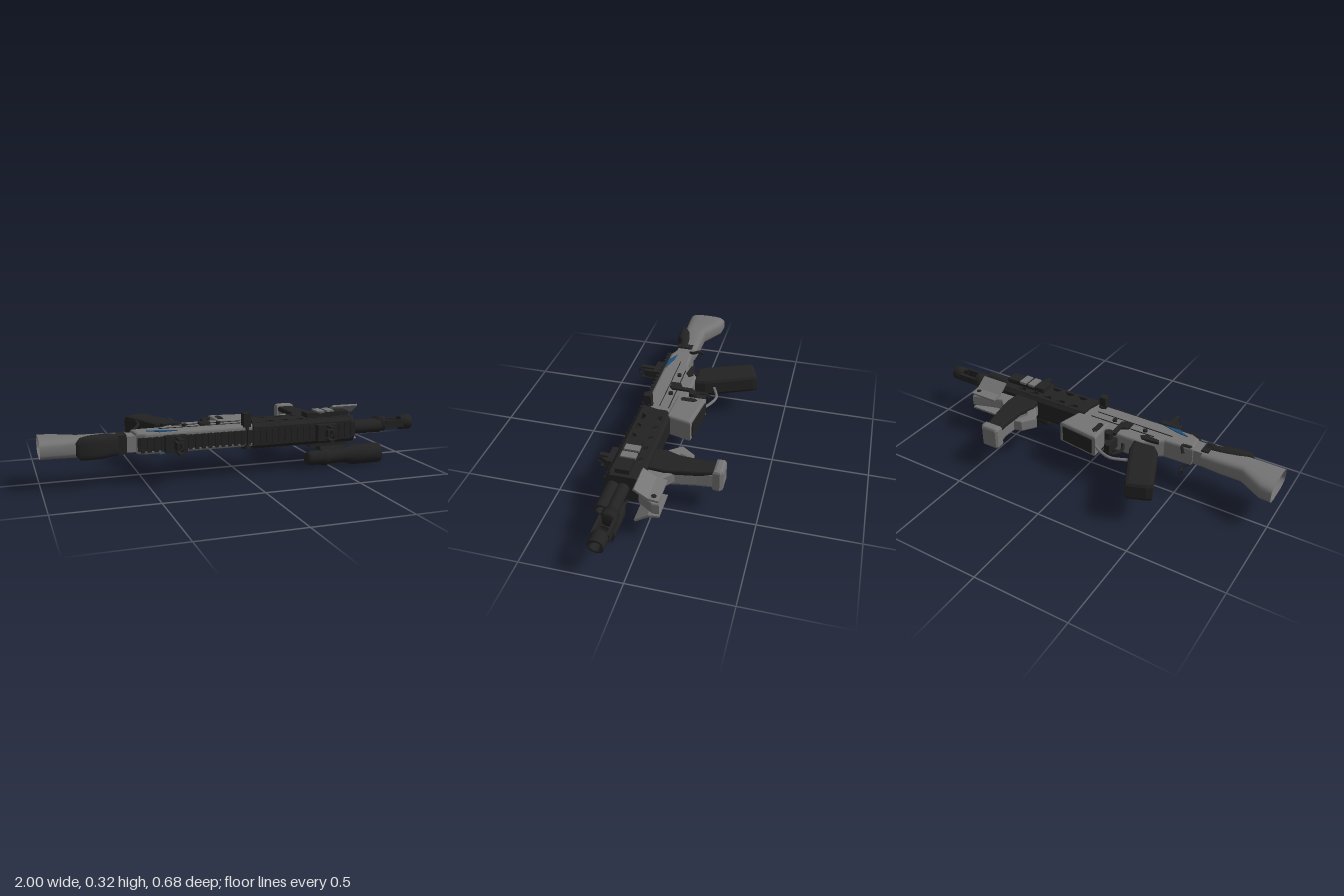
import * as THREE from 'three';

// The rifle lies on its side: muzzle to +x, sights to +z, grips to -z.
const black = new THREE.MeshStandardMaterial({ color: 0x222222, side: THREE.DoubleSide });
black.name = 'black';
const grey = new THREE.MeshStandardMaterial({ color: 0x747474, side: THREE.DoubleSide });
grey.name = 'grey';
const blue = new THREE.MeshStandardMaterial({ color: 0x1f4e79 });
blue.name = 'blue';
const CY = 0.202, BORE = 0.115;

export function createModel() {
  const root = new THREE.Group();
  root.name = 'rifle';
  const add = (name, geo, mat) => {
    const m = new THREE.Mesh(geo, mat);
    m.name = name;
    root.add(m);
    return m;
  };
  const box = (name, mat, x0, x1, y0, y1, z0, z1) => {
    const m = add(name, new THREE.BoxGeometry(x1 - x0, y1 - y0, z1 - z0), mat);
    m.position.set((x0 + x1) / 2, (y0 + y1) / 2, (z0 + z1) / 2);
    return m;
  };
  // Side outline given as [x, z], extruded between two heights
  const plate = (name, mat, pts, y0, y1, bevel = 0, holes = []) => {
    const flat = p => p.map(([x, z]) => new THREE.Vector2(x, -z));
    const s = new THREE.Shape(flat(pts));
    holes.forEach(h => s.holes.push(new THREE.Path(flat(h))));
    const g = new THREE.ExtrudeGeometry(s, {
      depth: y1 - y0 - 2 * bevel, bevelEnabled: bevel > 0, bevelThickness: bevel,
      bevelSize: bevel, bevelOffset: -bevel, bevelSegments: 2 });
    g.rotateX(-Math.PI / 2).translate(0, y0 + bevel, 0);
    return add(name, g, mat);
  };
  // Cross-section given as [z, y], extruded along the barrel
  const prism = (name, mat, pts, x0, x1) => {
    const s = new THREE.Shape(pts.map(([z, y]) => new THREE.Vector2(-z, y)));
    const g = new THREE.ExtrudeGeometry(s, { depth: x1 - x0, bevelEnabled: false });
    return add(name, g.rotateY(Math.PI / 2).translate(x0, 0, 0), mat);
  };
  // Turned part along x from a profile of [radius, x]
  const turned = (name, mat, pts, y, z, n = 24) => {
    const g = new THREE.LatheGeometry(pts.map(([r, x]) => new THREE.Vector2(r, x)), n);
    return add(name, g.toNonIndexed().rotateZ(-Math.PI / 2).translate(0, y, z), mat);
  };
  // Rounded tube through sections of [x, zMin, zMax, halfWidth]
  const loft = (name, mat, secs, n = 28) => {
    const pos = [], idx = [];
    const pw = v => Math.sign(v) * Math.abs(v) ** 0.6;
    secs.forEach(([x, a, b, w], i) => {
      for (let j = 0; j < n; j++) {
        const t = j / n * Math.PI * 2;
        pos.push(x, CY + w * pw(Math.cos(t)), (a + b) / 2 + (b - a) / 2 * pw(Math.sin(t)));
        if (i) {
          const p = (i - 1) * n + j, q = (i - 1) * n + (j + 1) % n;
          idx.push(p, p + n, q, q, p + n, q + n);
        }
      }
    });
    const g = new THREE.BufferGeometry();
    g.setAttribute('position', new THREE.Float32BufferAttribute(pos, 3));
    g.setIndex(idx);
    g.computeVertexNormals();
    return add(name, g, mat);
  };
  const tube = (name, mat, pts, r) => add(name, new THREE.TubeGeometry(
    new THREE.CatmullRomCurve3(pts.map(p => new THREE.Vector3(...p))), 20, r, 8), mat);

  // Stock, open at the rear
  loft('stock', grey, [[-1, -0.03, 0.187, 0.05], [-0.94, -0.025, 0.187, 0.05], [-0.82, 0.053, 0.18, 0.05],
    [-0.7, 0.055, 0.16, 0.048], [-0.6, 0.06, 0.15, 0.042]]);
  loft('cheekRest', black, [[-0.835, 0.18, 0.19, 0.03], [-0.815, 0.165, 0.203, 0.054], [-0.77, 0.135, 0.203, 0.058],
    [-0.71, 0.118, 0.2, 0.058], [-0.67, 0.115, 0.175, 0.056], [-0.6, 0.112, 0.165, 0.05], [-0.6, 0.137, 0.138, 0.001]]);
  box('stockCollar', black, -0.63, -0.59, 0.155, 0.25, 0.085, 0.17);
  box('stockNeck', grey, -0.6, -0.54, 0.162, 0.242, 0.075, 0.165);

  // Receiver and magazine well
  plate('receiver', grey, [[-0.555, 0.065], [-0.4, 0.06], [-0.3, -0.015], [-0.1, -0.015], [0.1, 0.03],
    [0.09, 0.185], [-0.5, 0.185], [-0.545, 0.165]], 0.148, 0.256, 0.012);
  plate('magazineWell', grey, [[-0.095, -0.115], [0.135, -0.085], [0.1, 0.05], [-0.09, 0.04]], 0.14, 0.264, 0.012);
  plate('magazineOpening', black, [[-0.075, -0.119], [0.115, -0.093], [0.112, -0.085], [-0.075, -0.109]], 0.16, 0.244);
  for (const [y0, y1] of [[0.138, 0.142], [0.262, 0.266]])
    plate('wellSlot', black, [[-0.075, -0.06], [-0.06, -0.075], [-0.045, -0.06], [-0.045, 0.005], [-0.06, 0.015], [-0.075, 0.005]], y0, y1);
  for (const [y0, y1] of [[0.144, 0.149], [0.255, 0.26]]) {
    plate('blueStripe', blue, [[-0.49, 0.145], [-0.44, 0.148], [-0.34, 0.175], [-0.43, 0.18], [-0.45, 0.165]], y0, y1);
    box('panelSeam', black, -0.42, 0.02, y0 + 0.001, y1 - 0.001, 0.106, 0.109);
    box('upperSeam', black, -0.34, 0.03, y0 + 0.001, y1 - 0.001, 0.055, 0.059);
    plate('selector', black, [[-0.39, 0.015], [-0.3, 0.005], [-0.28, 0.025], [-0.31, 0.045], [-0.38, 0.035]], y0 - 0.004, y1 + 0.004);
    plate('boltCatch', black, [[-0.2, 0.1], [-0.2, 0.05], [-0.165, 0.03], [-0.165, -0.03], [-0.14, -0.03],
      [-0.14, 0.08], [-0.16, 0.1]], y0 - 0.006, y1 + 0.006);
  }
  for (const [x, z, r] of [[-0.13, -0.035, 0.022], [0.02, 0.165, 0.022], [-0.28, 0.078, 0.012], [-0.1, 0.08, 0.012]]) {
    const pin = add('pin', new THREE.CylinderGeometry(r, r, 0.13, 14), black);
    pin.position.set(x, CY, z);
  }
  box('sideKnob', black, 0, 0.038, 0.25, 0.32, 0.15, 0.19);
  // Charging handle, with a hook on each side
  for (const s of [1, -1])
    tube('chargingHook', black, [[-0.54, CY + s * 0.05, 0.08], [-0.51, CY + s * 0.07, 0.05],
      [-0.515, CY + s * 0.08, 0.02], [-0.53, CY + s * 0.06, 0]], 0.008);

  // Rear grip, trigger and guard
  plate('rearGrip', black, [[-0.515, -0.285], [-0.49, -0.305], [-0.395, -0.34], [-0.38, -0.32], [-0.27, -0.07],
    [-0.26, -0.01], [-0.38, 0], [-0.41, -0.03]], 0.15, 0.255, 0.02);
  tube('triggerGuard', grey, [[-0.305, CY, -0.11], [-0.25, CY, -0.135], [-0.2, CY, -0.148], [-0.13, CY, -0.125], [-0.09, CY, -0.1]], 0.008);
  tube('trigger', black, [[-0.2, CY, -0.01], [-0.22, CY, -0.05], [-0.22, CY, -0.08], [-0.2, CY, -0.11]], 0.009);
  plate('magazineCatch', black, [[-0.17, -0.1], [-0.14, -0.1], [-0.1, 0], [-0.17, 0]], 0.175, 0.23);

  // Handguard: pierced sides, chamfered spine and floor, closed ends
  const slots = [];
  for (let i = 0; i < 5; i++) {
    const x = 0.12 + i * 0.085;
    slots.push([[x, 0.062], [x + 0.06, 0.062], [x + 0.035, 0.085], [x + 0.015, 0.085]]);
    slots.push([[x + 0.015, 0.146], [x + 0.035, 0.146], [x + 0.06, 0.17], [x, 0.17]]);
  }
  for (const y of [0.134, 0.256])
    plate('handguardSide', black, [[0.05, 0.185], [0.085, 0.045], [0.6, 0.045], [0.6, 0.185]], y, y + 0.014, 0, slots);
  prism('handguardSpine', black, [[0.183, 0.134], [0.183, 0.27], [0.205, 0.25], [0.205, 0.155]], 0.05, 0.6);
  prism('handguardFloor', black, [[0.047, 0.134], [0.047, 0.27], [0.03, 0.25], [0.03, 0.155]], 0.085, 0.6);
  const oct = [[0.205, 0.165], [0.18, 0.134], [0.055, 0.134], [0.028, 0.165], [0.028, 0.24], [0.055, 0.27], [0.18, 0.27], [0.205, 0.24]];
  prism('handguardCap', black, oct, 0.58, 0.62);
  prism('handguardRear', black, oct, 0.07, 0.1);
  box('topRail', black, -0.54, 0.62, 0.17, 0.234, 0.18, 0.202);
  for (let i = 0; i < 34; i++) {
    const x = -0.53 + i * 0.034;
    box('railTooth', black, x, x + 0.018, 0.165, 0.239, 0.2, 0.212);
  }

  // Barrel, gas tube and slotted muzzle
  turned('barrel', black, [[0, 0.08], [0.038, 0.08], [0.038, 0.5], [0.03, 0.62], [0.03, 0.8], [0, 0.8]], CY, BORE);
  turned('gasTube', black, [[0, 0.5], [0.034, 0.5], [0.034, 0.785], [0.02, 0.785], [0.02, 0.74], [0, 0.74]], CY, 0.165);
  turned('muzzleBase', black, [[0, 0.79], [0.04, 0.79], [0.042, 0.835], [0.024, 0.84], [0, 0.84]], CY, BORE);
  turned('muzzleRing', black, [[0.024, 0.94], [0.04, 0.94], [0.04, 1], [0.024, 1], [0.024, 0.94]], CY, BORE);
  for (const z of [0.073, 0.143]) box('muzzleProng', black, 0.83, 0.945, 0.182, 0.222, z, z + 0.014);

  // Foregrip with end cap and finger stop
  plate('foregrip', grey, [[0.375, -0.3], [0.465, -0.3], [0.475, -0.2], [0.5, -0.05], [0.5, 0.035], [0.36, 0.035],
    [0.355, -0.02], [0.385, -0.1], [0.39, -0.22]], 0.152, 0.244, 0.015);
  plate('foregripPanel', black, [[0.378, -0.285], [0.462, -0.285], [0.484, -0.18], [0.506, -0.05], [0.5, 0.035],
    [0.36, 0.035], [0.352, -0.02], [0.38, -0.1], [0.382, -0.22]], 0.222, 0.252, 0.008);
  plate('foregripCap', grey, [[0.37, -0.315], [0.38, -0.325], [0.462, -0.325], [0.475, -0.31], [0.472, -0.275], [0.37, -0.275]], 0.14, 0.264, 0.015);
  plate('fingerStop', grey, [[0.285, -0.085], [0.335, -0.155], [0.378, -0.165], [0.35, -0.09], [0.4, -0.01], [0.36, 0.01]], 0.17, 0.234, 0.008);

  // Flared front guard under the barrel
  for (const s of [1, -1])
    prism('guardWing', grey, [[0.037, CY + s * 0.092], [0.03, CY + s * 0.1], [-0.035, CY + s * 0.057],
      [-0.085, CY + s * 0.05], [-0.085, CY + s * 0.04], [-0.03, CY + s * 0.045]], 0.57, 0.72);
  plate('guardWeb', grey, [[0.47, -0.12], [0.5, -0.09], [0.56, -0.035], [0.63, -0.055], [0.72, -0.085], [0.72, -0.05],
    [0.67, 0.025], [0.48, 0.035]], 0.17, 0.234, 0.008);
  for (const y of [0.148, 0.25]) {
    const screw = add('guardScrew', new THREE.CylinderGeometry(0.012, 0.012, 0.018, 12), black);
    screw.position.set(0.695, y, -0.055);
  }

  // Side rails and clamp rings
  box('sideRail', black, 0.36, 0.6, 0.265, 0.295, 0.09, 0.16);
  for (const x of [0.42, 0.475]) box('railClamp', grey, x, x + 0.04, 0.29, 0.303, 0.085, 0.16);
  box('lowerRail', black, 0.38, 0.6, 0.112, 0.14, 0.09, 0.16);
  prism('lampMount', black, [[0.1, 0.12], [0.15, 0.12], [0.185, 0.075], [0.13, 0.07]], 0.44, 0.58);

  // Side lamp with a recessed front
  turned('lamp', black, [[0, 0.36], [0.028, 0.36], [0.038, 0.38], [0.038, 0.44], [0.044, 0.45], [0.044, 0.48], [0.038, 0.49],
    [0.038, 0.58], [0.053, 0.63], [0.053, 0.785], [0.047, 0.785], [0.047, 0.74], [0, 0.74]], 0.053, 0.161, 28);

  // Folding sights
  for (const [x, top] of [[-0.355, 0.318], [0.45, 0.285]]) {
    box('sightBase', black, x - 0.06, x + 0.05, 0.16, 0.244, 0.205, 0.24);
    box('sightPost', black, x - 0.018, x + 0.018, 0.182, 0.222, 0.235, top - 0.02);
    for (const s of [1, -1]) box('sightEar', black, x - 0.012, x + 0.012, CY + s * 0.034 - 0.005, CY + s * 0.034 + 0.005, 0.23, top);
    const ring = add('sightRing', new THREE.TorusGeometry(0.017, 0.004, 8, 24), black);
    ring.rotation.y = Math.PI / 2;
    ring.position.set(x, CY, top);
  }
  return root;
}
